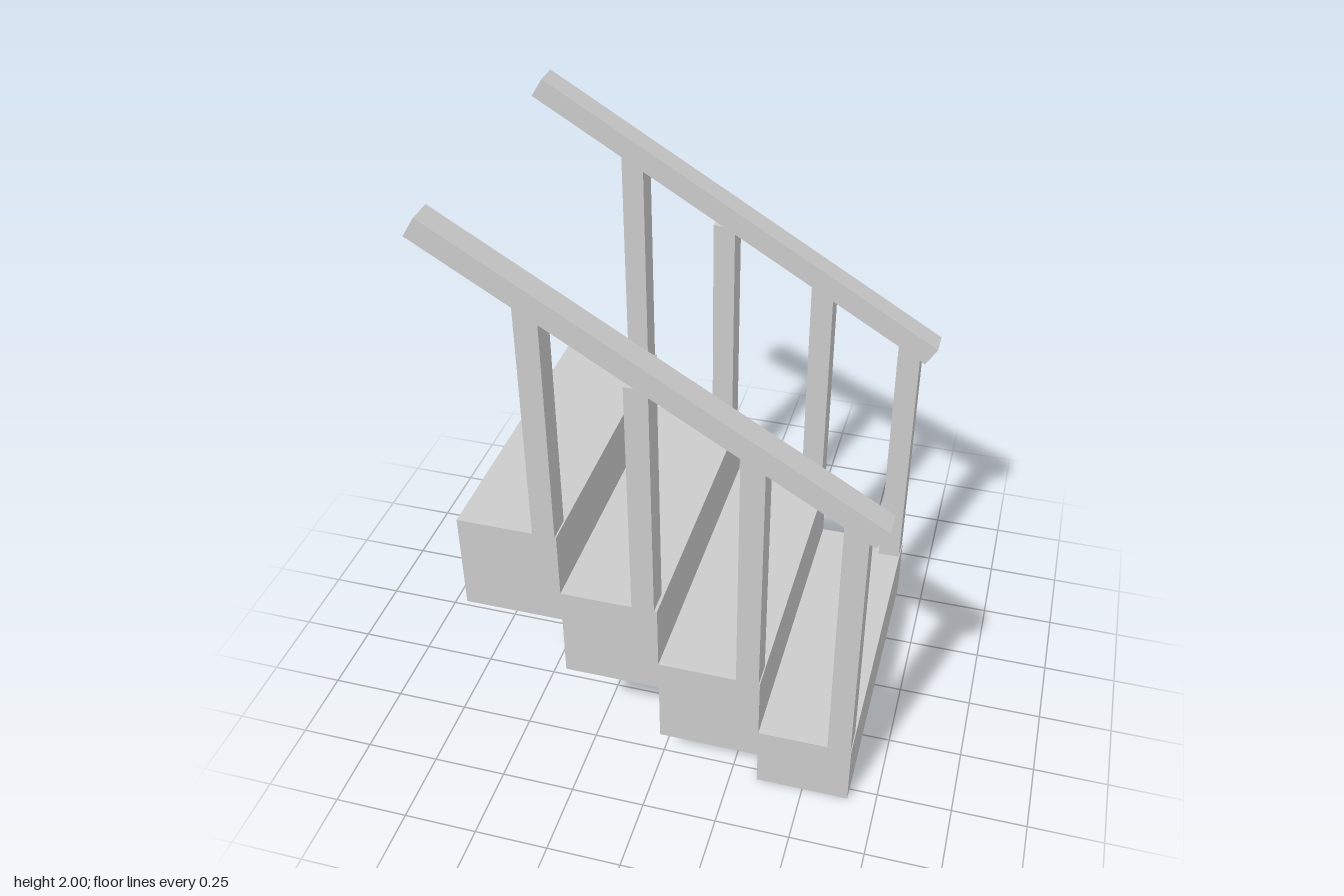
import * as THREE from 'three';

const material = new THREE.MeshStandardMaterial({ color: 0xcccccc, flatShading: true });

const DEPTH = 1.085;      // overall width of the flight, along z
const RAIL_WIDTH = 0.085; // posts and handrails share this z width

// Each step: x range, underside and tread height, post x range and post top
const STEPS = [
  { x0: -0.66, x1: -0.325, y0: 0.58, y1: 0.93, p0: -0.405, p1: -0.33, top: 1.76 },
  { x0: -0.325, x1: 0, y0: 0.353, y1: 0.695, p0: -0.085, p1: -0.01, top: 1.546 },
  { x0: 0, x1: 0.342, y0: 0.125, y1: 0.46, p0: 0.262, p1: 0.338, top: 1.36 },
  { x0: 0.342, x1: 0.655, y0: 0, y1: 0.232, p0: 0.575, p1: 0.652, top: 1.17 },
];

// Extrudes an x-y outline along z, centred on z = 0
function extruded(points, depth, name) {
  const shape = new THREE.Shape(points.map(([x, y]) => new THREE.Vector2(x, y)));
  const geometry = new THREE.ExtrudeGeometry(shape, { depth, bevelEnabled: false });
  geometry.translate(0, 0, -depth / 2);
  const mesh = new THREE.Mesh(geometry, material);
  mesh.name = name;
  return mesh;
}

// Four posts standing on the treads under one sloping handrail
function createRailing(name, z) {
  const railing = new THREE.Group();
  railing.name = name;
  for (const s of STEPS) {
    const height = s.top - s.y1;
    const post = new THREE.Mesh(new THREE.BoxGeometry(s.p1 - s.p0, height, RAIL_WIDTH), material);
    post.position.set((s.p0 + s.p1) / 2, s.y1 + height / 2, 0);
    post.name = 'post';
    railing.add(post);
  }
  railing.add(extruded(
    [[-0.71, 1.938], [0.671, 1.115], [0.71, 1.18], [-0.671, 2]], RAIL_WIDTH, 'handrail'));
  railing.position.z = z;
  return railing;
}

export function createModel() {
  const group = new THREE.Group();
  group.name = 'staircase';

  // Stepped block: along the underside downhill, then back up over the treads
  const underside = STEPS.flatMap((s) => [[s.x0, s.y0], [s.x1, s.y0]]);
  const treads = [...STEPS].reverse().flatMap((s) => [[s.x1, s.y1], [s.x0, s.y1]]);
  group.add(extruded([...underside, ...treads], DEPTH, 'steps'));

  // Railings flush with both sides
  const z = (DEPTH - RAIL_WIDTH) / 2;
  group.add(createRailing('frontRailing', z), createRailing('backRailing', -z));
  return group;
}
